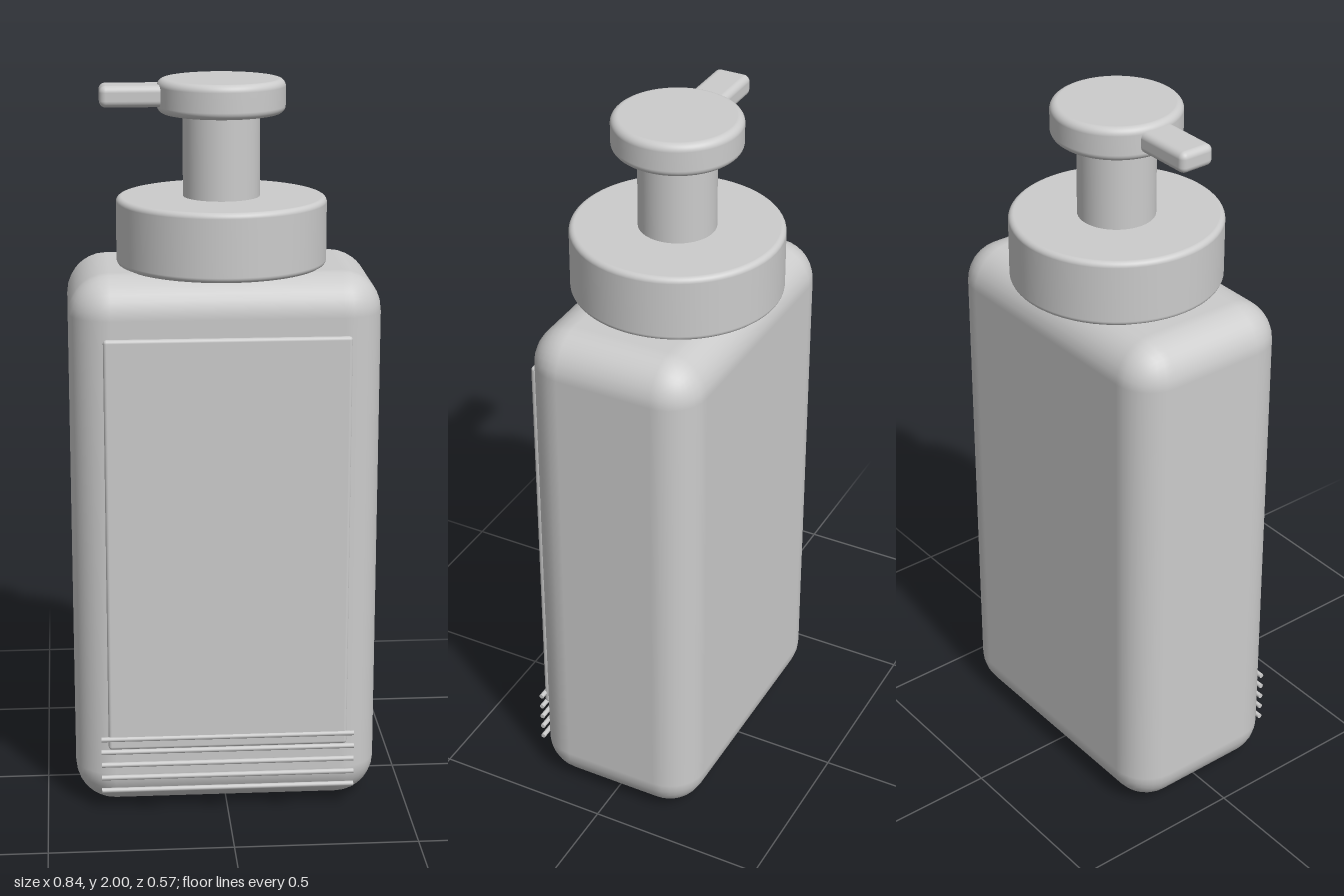
import * as THREE from 'three';
import { RoundedBoxGeometry } from 'three/addons/geometries/RoundedBoxGeometry.js';

const material = new THREE.MeshStandardMaterial({ color: 0xcccccc });

export function createModel() {
  const model = new THREE.Group();

  function add(name, geometry, x, y, z) {
    const mesh = new THREE.Mesh(geometry, material);
    mesh.name = name;
    mesh.position.set(x, y, z);
    model.add(mesh);
    return mesh;
  }

  // Closed disc with rounded rims, standing on its own y = 0
  function roundedDisc(radius, height, bevel) {
    const shape = new THREE.Path();
    shape.moveTo(0, 0);
    shape.lineTo(radius - bevel, 0);
    shape.absarc(radius - bevel, bevel, bevel, -Math.PI / 2, 0);
    shape.lineTo(radius, height - bevel);
    shape.absarc(radius - bevel, height - bevel, bevel, 0, Math.PI / 2);
    shape.lineTo(0, height);
    return new THREE.LatheGeometry(shape.getPoints(6), 64);
  }

  // Bottle
  add('bottleBody', new RoundedBoxGeometry(0.84, 1.505, 0.492, 4, 0.11), 0, 0.7525, 0);

  // Pump: collar, stem, press head and spout pointing to -x
  add('pumpCollar', roundedDisc(0.285, 0.185, 0.015), 0, 1.5, 0);
  add('pumpStem', new THREE.CylinderGeometry(0.104, 0.104, 0.25, 48), 0, 1.795, 0);
  add('pumpHead', roundedDisc(0.172, 0.092, 0.02), 0, 1.908, 0);
  add('spout', new RoundedBoxGeometry(0.24, 0.058, 0.102, 4, 0.018), -0.207, 1.957, 0);

  // Raised label panel on the front
  add('frontLabel', new RoundedBoxGeometry(0.66, 1.16, 0.02, 3, 0.009), 0, 0.769, 0.257);

  // Thin horizontal ribs across the lower front
  for (let i = 0; i < 5; i++) {
    const rib = add('frontRib', new THREE.CylinderGeometry(0.007, 0.007, 0.7, 12), 0, 0.069 + i * 0.038, 0.265);
    rib.rotation.z = Math.PI / 2;
  }

  return model;
}
